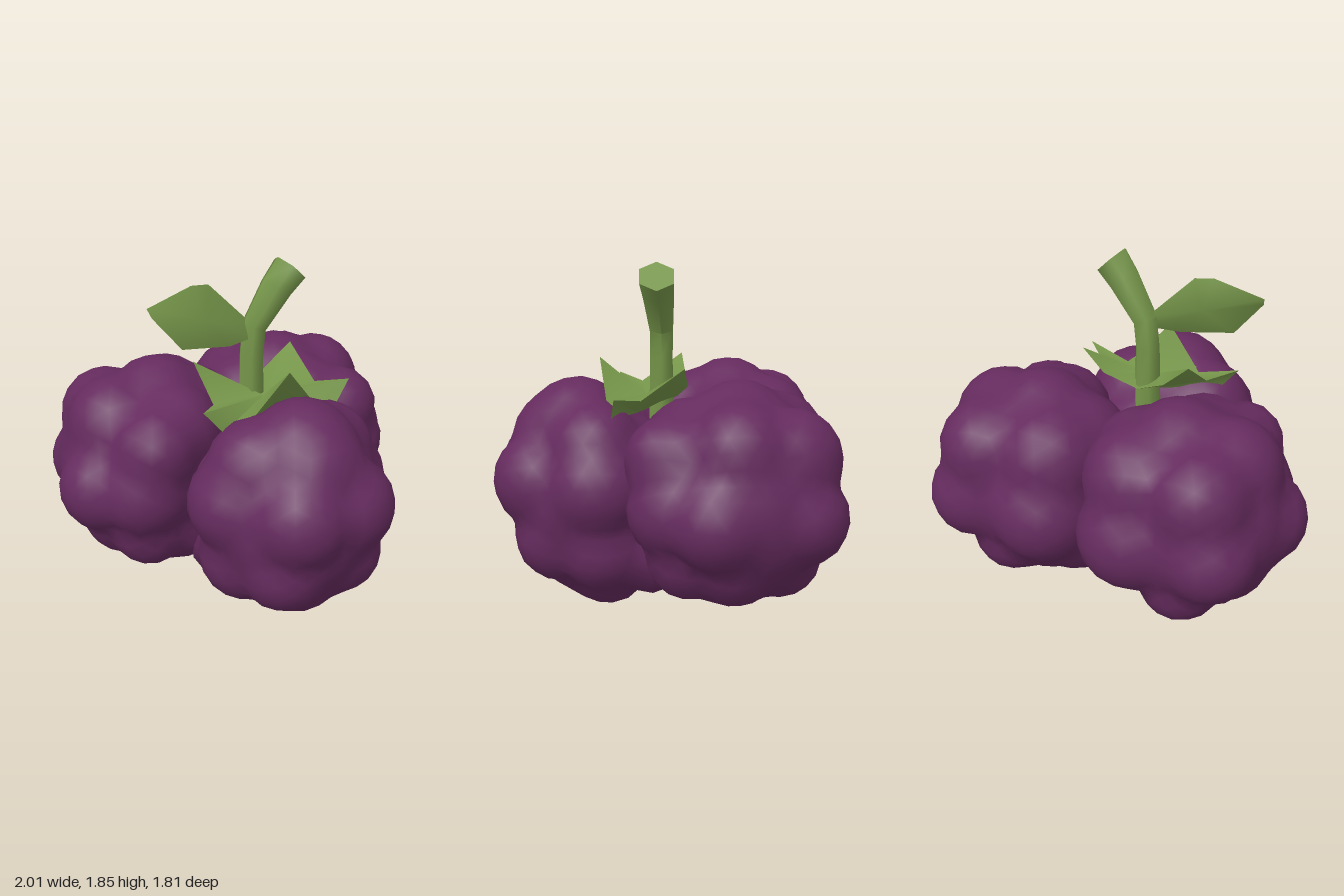
import * as THREE from 'three';
import { mergeVertices, toCreasedNormals } from 'three/addons/utils/BufferGeometryUtils.js';

const V = (p) => new THREE.Vector3(...p);

// Bumpy berry: a sphere whose vertices are pushed out to the union of round drupelets
function berryGeometry(center, drupelets) {
  let geo = new THREE.IcosahedronGeometry(1, 7);
  geo.deleteAttribute('uv');
  geo.deleteAttribute('normal');
  geo = mergeVertices(geo, 1e-4);
  const pos = geo.attributes.position;
  const c = V(center);
  const dir = new THREE.Vector3();
  const rel = new THREE.Vector3();
  for (let i = 0; i < pos.count; i++) {
    dir.fromBufferAttribute(pos, i).normalize();
    let reach = 0.48;
    for (const [x, y, z, r] of drupelets) {
      rel.set(x, y, z).sub(c);
      const along = rel.dot(dir);
      const disc = r * r - rel.lengthSq() + along * along;
      if (disc > 0) reach = Math.max(reach, along + Math.sqrt(disc));
    }
    pos.setXYZ(i, c.x + dir.x * reach, c.y + dir.y * reach, c.z + dir.z * reach);
  }
  geo.computeVertexNormals();
  return geo;
}

// Closed shell: an outline joined to a point above and a point below
function shellGeometry(ring, top, bottom) {
  const n = ring.length;
  const index = [];
  for (let i = 0; i < n; i++) {
    const j = (i + 1) % n;
    index.push(n, i, j, n + 1, j, i);
  }
  return finish([...ring, top, bottom], index);
}

// Round stalk: rings of [x, y, z, radius, tilt] joined and capped
function stalkGeometry(sections, sides) {
  const points = [];
  const index = [];
  for (const [x, y, z, r, tilt] of sections) {
    for (let i = 0; i < sides; i++) {
      const a = (i / sides) * Math.PI * 2;
      const u = Math.cos(a) * r;
      points.push([x + u * Math.cos(tilt), y - u * Math.sin(tilt), z + Math.sin(a) * r]);
    }
  }
  for (let s = 0; s < sections.length - 1; s++) {
    for (let i = 0; i < sides; i++) {
      const a = s * sides + i;
      const b = s * sides + ((i + 1) % sides);
      index.push(a, a + sides, b, b, a + sides, b + sides);
    }
  }
  const end = (sections.length - 1) * sides;
  points.push(sections.at(-1).slice(0, 3));
  for (let i = 0; i < sides; i++) index.push(points.length - 1, end + ((i + 1) % sides), end + i);
  return finish(points, index);
}

function finish(points, index) {
  const geo = new THREE.BufferGeometry();
  geo.setAttribute('position', new THREE.Float32BufferAttribute(points.flat(), 3));
  geo.setIndex(index);
  return toCreasedNormals(geo, 1.1);
}

export function createModel() {
  const group = new THREE.Group();
  const purple = new THREE.MeshStandardMaterial({ color: 0x652b5e });
  purple.name = 'berryPurple';
  const green = new THREE.MeshStandardMaterial({ color: 0x76964a, side: THREE.DoubleSide });
  green.name = 'leafGreen';
  const add = (name, geo, mat) => {
    const mesh = new THREE.Mesh(geo, mat);
    mesh.name = name;
    group.add(mesh);
  };

  // Front berry: paired drupelets mirrored in x, plus the crown and the lowest tips
  const pairs = [
    [0.13, 0.72, 0.64, 0.26], [0.16, 0.42, 0.55, 0.24], [0.29, 0.72, 0.34, 0.27],
    [0.24, 0.4, 0.32, 0.25], [0.21, 0.9, 0.36, 0.25], [0.2, 0.34, 0.08, 0.22],
    [0.18, 0.7, 0.08, 0.26],
  ];
  const frontDrupelets = [
    [0, 0.96, 0.46, 0.285], [0, 0.91, 0.53, 0.28], [0.03, 0.24, 0.31, 0.245],
    [0, 0.32, 0.42, 0.27],
  ];
  for (const [x, y, z, r] of pairs) frontDrupelets.push([x, y, z, r], [-x, y, z, r]);
  add('frontBerry', berryGeometry([0, 0.62, 0.36], frontDrupelets), purple);

  // Two back berries, mirrored and overlapping in the middle
  const sideDrupelets = [
    [0.76, 0.68, -0.25, 0.245], [0.62, 0.7, -0.06, 0.25], [0.63, 0.97, -0.35, 0.265],
    [0.38, 1.01, -0.37, 0.28], [0.41, 0.95, -0.14, 0.26], [0.57, 0.93, -0.02, 0.22],
    [0.58, 0.94, -0.6, 0.25], [0.24, 0.94, -0.56, 0.27], [0.65, 0.67, -0.64, 0.24],
    [0.25, 0.67, -0.63, 0.28], [0.2, 0.9, -0.38, 0.3], [0.22, 0.68, -0.2, 0.27],
    [0.2, 0.5, -0.42, 0.28], [0.48, 0.43, -0.56, 0.22], [0.38, 0.38, -0.37, 0.25],
    [0.61, 0.47, -0.33, 0.25], [0.38, 0.43, -0.15, 0.23], [0.58, 0.46, -0.12, 0.22],
  ];
  for (const s of [1, -1]) {
    const drupelets = sideDrupelets.map(([x, y, z, r]) => [x * s, y, z, r]);
    add(s > 0 ? 'leftBerry' : 'rightBerry', berryGeometry([0.46 * s, 0.7, -0.36], drupelets), purple);
  }

  // Five-pointed crown of sepals, tips alternating with notches
  const half = [
    [0.17, 1.15, 0.3], [0.34, 1.08, 0.27], [0.44, 1.2, 0.25], [0.31, 1.17, 0.12],
    [0.3, 1.33, -0.1], [0.17, 1.22, -0.12],
  ];
  const mirrored = half.map(([x, y, z]) => [-x, y, z]).reverse();
  const sepals = [[0, 1.35, 0.34], ...half, [0, 1.14, -0.07], ...mirrored];
  add('sepalCrown', shellGeometry(sepals, [0, 1.15, 0.1], [0, 1.05, 0.14]), green);

  // Stem, bent towards its cut end
  add('stem', stalkGeometry([
    [-0.02, 1.02, 0.015, 0.075, 0], [-0.02, 1.35, 0.015, 0.068, 0.05],
    [-0.005, 1.5, 0.015, 0.07, 0.35], [0.12, 1.69, 0.03, 0.09, 0.6],
    [0.195, 1.78, 0.04, 0.1, 0.75],
  ], 6), green);

  // Single leaf growing from the stem
  const leaf = [
    [-0.02, 1.52, 0.01], [-0.27, 1.76, 0.02], [-0.37, 1.77, 0.03], [-0.62, 1.7, 0.05],
    [-0.61, 1.66, 0.08], [-0.46, 1.48, 0.09], [-0.18, 1.44, 0.07], [-0.03, 1.45, 0.04],
  ];
  add('leaf', shellGeometry(leaf, [-0.33, 1.61, 0.1], [-0.33, 1.61, -0.01]), green);

  return group;
}
